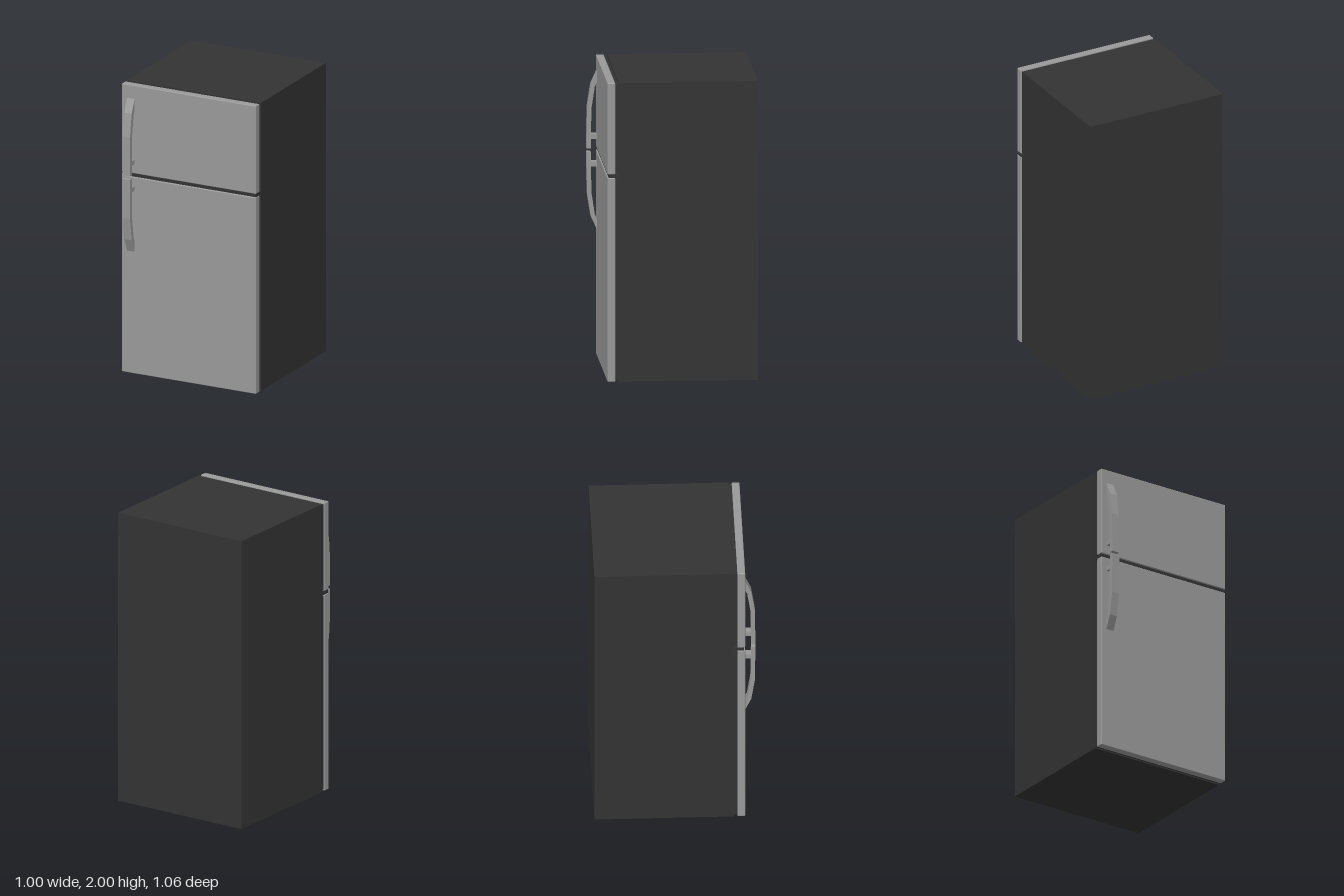
import * as THREE from 'three';
import { RoundedBoxGeometry } from 'three/addons/geometries/RoundedBoxGeometry.js';

const dark = new THREE.MeshStandardMaterial({ color: 0x333333 });
const steel = new THREE.MeshStandardMaterial({ color: 0x999999 });
const SPLIT = 1.376; // height of the gap between the doors
const HANDLE_X = -0.43;

function add(group, name, geometry, material) {
  const mesh = new THREE.Mesh(geometry, material);
  mesh.name = name;
  group.add(mesh);
  return mesh;
}

// Box given by its lower and upper limits, optionally with softened edges
function box(x0, x1, y0, y1, z0, z1, radius = 0) {
  const size = [x1 - x0, y1 - y0, z1 - z0];
  const geometry = radius
    ? new RoundedBoxGeometry(...size, 2, radius)
    : new THREE.BoxGeometry(...size);
  return geometry.translate((x0 + x1) / 2, (y0 + y1) / 2, (z0 + z1) / 2);
}

// Bowed bar running away from the gap, up (dir = 1) or down (dir = -1)
function handle(dir) {
  const group = new THREE.Group();
  const outline = [
    [0.53, 0.012], [0.527, 0.284], [0.503, 0.439], [0.46, 0.534],
    [0.46, 0.462], [0.476, 0.425], [0.498, 0.28], [0.502, 0.012],
  ].map(([z, d]) => new THREE.Vector2(-z, SPLIT + dir * d));
  const bar = new THREE.ExtrudeGeometry(new THREE.Shape(outline), { depth: 0.056, bevelEnabled: false });
  bar.rotateY(Math.PI / 2).translate(HANDLE_X - 0.028, 0, 0);
  add(group, 'handleBar', bar, steel);

  // Short post tying the bar to the door
  const y = SPLIT + dir * 0.092;
  add(group, 'handlePost', box(HANDLE_X - 0.026, HANDLE_X + 0.026, y - 0.016, y + 0.016, 0.455, 0.51), steel);
  return group;
}

export function createModel() {
  const model = new THREE.Group();
  model.name = 'refrigerator';

  add(model, 'cabinet', box(-0.497, 0.497, 0, 2, -0.53, 0.388), dark);

  // Recessed seals behind the doors and the strip in the gap
  add(model, 'lowerSeal', box(-0.49, 0.49, 0.01, 1.355, 0.387, 0.412), dark);
  add(model, 'upperSeal', box(-0.49, 0.49, 1.397, 1.99, 0.387, 0.412), dark);
  add(model, 'gapStrip', box(-0.495, 0.495, 1.364, 1.388, 0.387, 0.453), dark);

  add(model, 'refrigeratorDoor', box(-0.498, 0.498, 0, 1.364, 0.41, 0.462, 0.006), steel);
  add(model, 'freezerDoor', box(-0.498, 0.498, 1.388, 2, 0.41, 0.462, 0.006), steel);

  for (const [name, dir] of [['freezerHandle', 1], ['refrigeratorHandle', -1]]) {
    const h = handle(dir);
    h.name = name;
    model.add(h);
  }
  return model;
}
